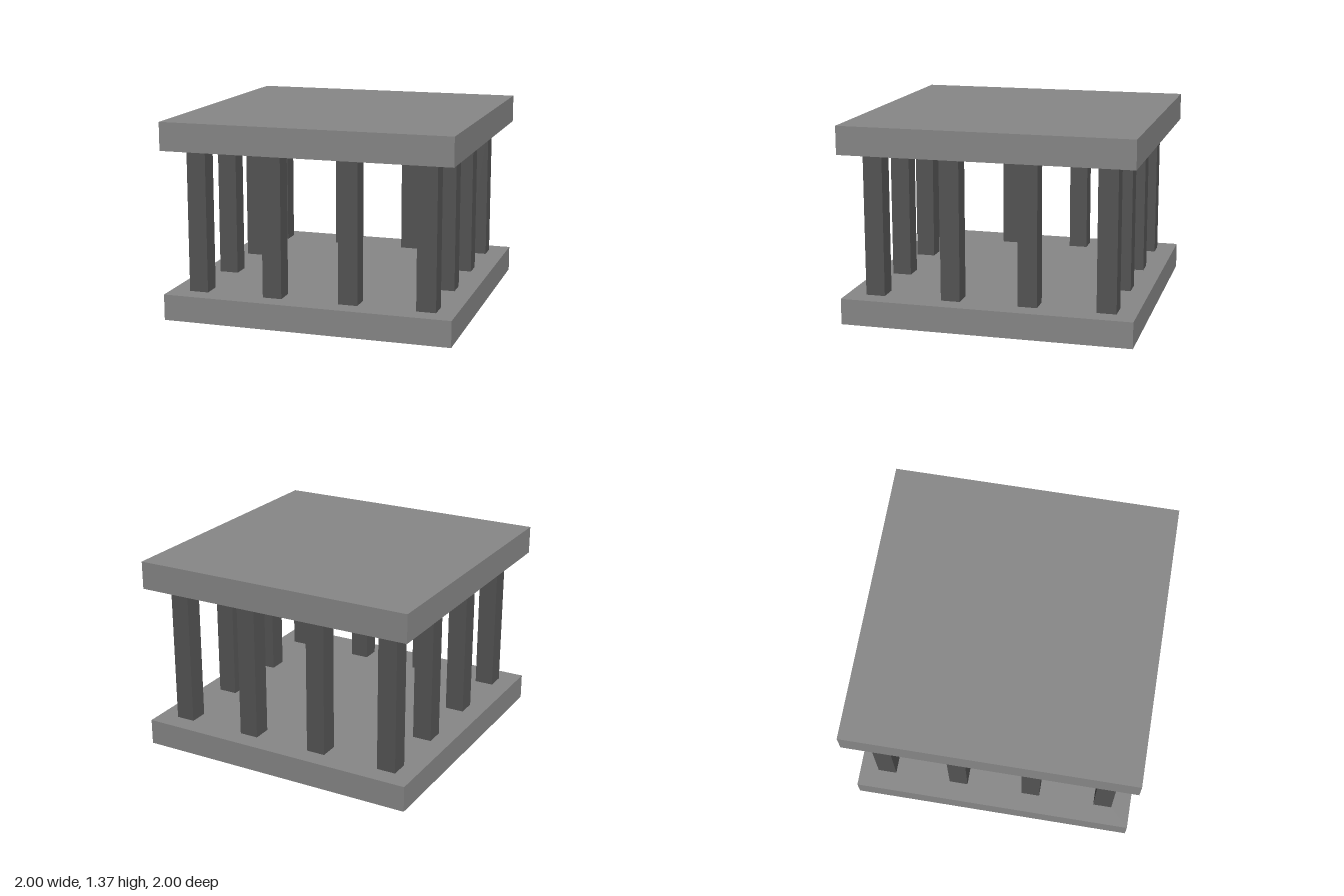
import * as THREE from 'three';

const SLAB_COLOR = 0x888888;
const COLUMN_COLOR = 0x555555;
const FLOOR_TOP = 0.18;
const ROOF_BOTTOM = 1.17;
const ROOF_TOP = 1.365;

// Box with its bottom and top given as heights
function block(name, width, bottom, top, material, x = 0, z = 0) {
  const mesh = new THREE.Mesh(new THREE.BoxGeometry(width, top - bottom, width), material);
  mesh.name = name;
  mesh.position.set(x, (bottom + top) / 2, z);
  return mesh;
}

export function createModel() {
  const model = new THREE.Group();
  model.name = 'pavilion';
  const slabMaterial = new THREE.MeshStandardMaterial({ color: SLAB_COLOR });
  const columnMaterial = new THREE.MeshStandardMaterial({ color: COLUMN_COLOR });

  // Square floor and roof slabs
  model.add(block('floorSlab', 2, 0, FLOOR_TOP, slabMaterial));
  model.add(block('roofSlab', 2, ROOF_BOTTOM, ROOF_TOP, slabMaterial));

  // Twelve square columns around the edge, none in the middle
  const columns = new THREE.Group();
  columns.name = 'columns';
  const spacing = 1.6 / 3;
  for (let i = 0; i < 4; i++) {
    for (let j = 0; j < 4; j++) {
      const onEdge = i === 0 || i === 3 || j === 0 || j === 3;
      if (!onEdge) continue;
      const x = -0.8 + i * spacing;
      const z = -0.8 + j * spacing;
      columns.add(block('column', 0.133, FLOOR_TOP, ROOF_BOTTOM, columnMaterial, x, z));
    }
  }
  model.add(columns);
  return model;
}
